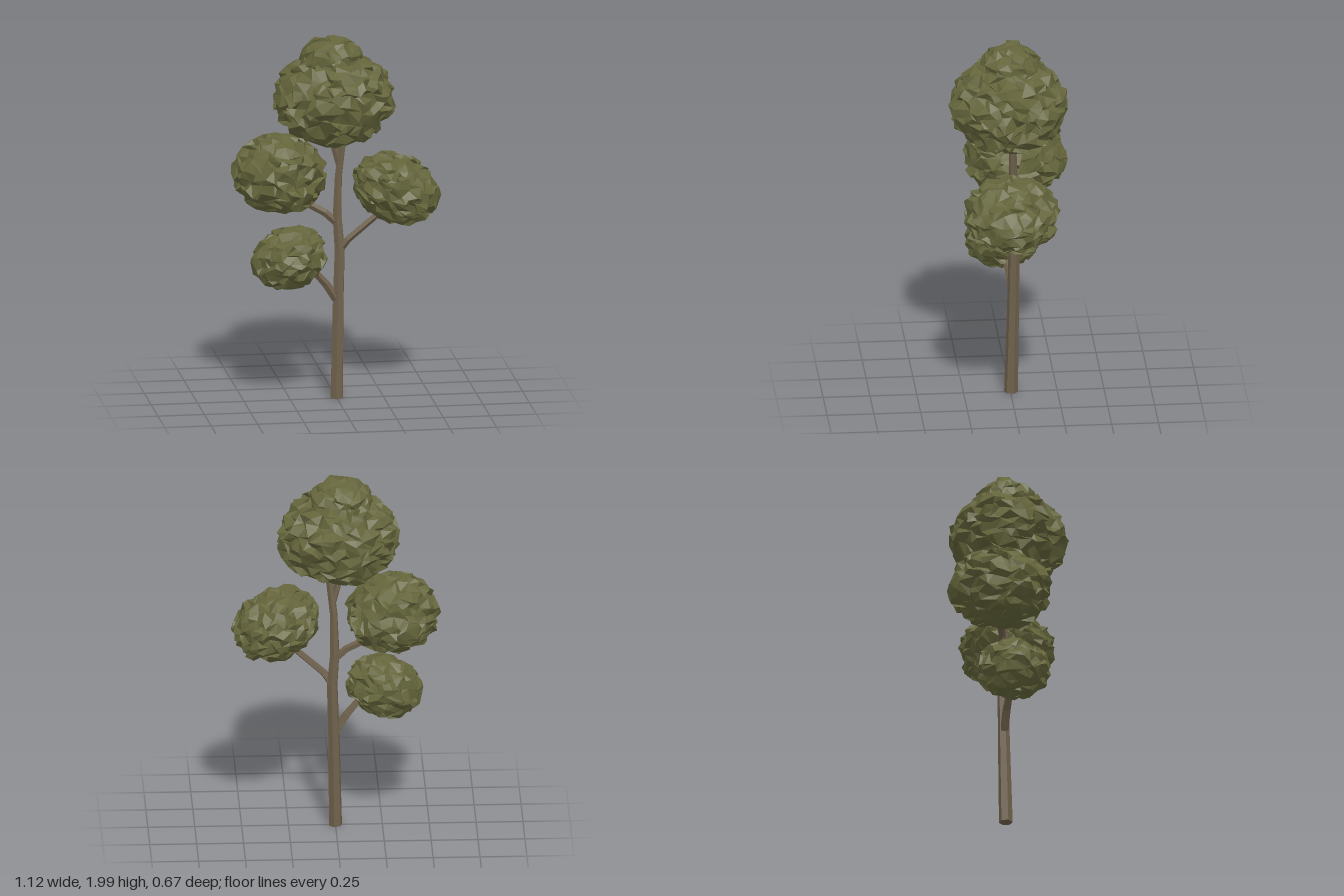
import * as THREE from 'three';
import { mergeVertices } from 'three/addons/utils/BufferGeometryUtils.js';

const bark = new THREE.MeshStandardMaterial({ color: 0x6f614c, flatShading: true });
bark.name = 'bark brown';
// leaves fold over each other, so both faces show
const leaf = new THREE.MeshStandardMaterial({
  color: 0x64653b, flatShading: true, side: THREE.DoubleSide,
});
leaf.name = 'leaf olive';

// small seeded random generator
function seeded(seed) {
  let s = seed;
  return () => {
    s = (s * 16807) % 2147483647;
    return s / 2147483647;
  };
}

// tapered limb with flat sides; each point is [x, y, z, radius]
function limb(name, points, sides = 6) {
  const pos = [], index = [];
  const centres = points.map(p => new THREE.Vector3(p[0], p[1], p[2]));
  points.forEach((p, i) => {
    const dir = centres[Math.min(i + 1, points.length - 1)].clone()
      .sub(centres[Math.max(i - 1, 0)]).normalize();
    const u = new THREE.Vector3(0, 0, 1).cross(dir).normalize();
    const v = dir.clone().cross(u);
    for (let k = 0; k < sides; k++) {
      const a = (k + 0.3) / sides * Math.PI * 2;
      const q = centres[i].clone()
        .addScaledVector(u, Math.cos(a) * p[3])
        .addScaledVector(v, Math.sin(a) * p[3]);
      pos.push(q.x, Math.max(q.y, 0), q.z);
      if (i > 0) {
        const b = i * sides + k, c = i * sides + (k + 1) % sides;
        index.push(b - sides, c - sides, c, b - sides, c, b);
      }
    }
  });
  // end caps
  const last = (points.length - 1) * sides;
  for (let k = 1; k < sides - 1; k++) {
    index.push(0, k + 1, k, last, last + k, last + k + 1);
  }
  const g = new THREE.BufferGeometry();
  g.setAttribute('position', new THREE.Float32BufferAttribute(pos, 3));
  g.setIndex(index);
  const flat = g.toNonIndexed();
  flat.computeVertexNormals();
  const mesh = new THREE.Mesh(flat, bark);
  mesh.name = name;
  return mesh;
}

// ragged ball of foliage filling the box from min to max, leaning by tilt
function foliage(name, min, max, detail, seed, tilt = 0) {
  const rnd = seeded(seed);
  let g = new THREE.IcosahedronGeometry(1, detail);
  g.deleteAttribute('normal');
  g.deleteAttribute('uv');
  g = mergeVertices(g, 1e-4);
  const p = g.attributes.position;
  const v = new THREE.Vector3();
  const scatter = 1.5 / (detail + 1);
  for (let i = 0; i < p.count; i++) {
    // sideways scatter, then a random depth
    v.fromBufferAttribute(p, i);
    v.x += (rnd() - 0.5) * scatter;
    v.y += (rnd() - 0.5) * scatter;
    v.z += (rnd() - 0.5) * scatter;
    v.normalize().multiplyScalar(0.9 + rnd() * 0.18);
    p.setXYZ(i, v.x, v.y + tilt * v.x, v.z);
  }
  // fit to the box
  g.computeBoundingBox();
  const { min: a, max: b } = g.boundingBox;
  g.translate(-(a.x + b.x) / 2, -(a.y + b.y) / 2, -(a.z + b.z) / 2);
  g.scale(
    (max[0] - min[0]) / (b.x - a.x),
    (max[1] - min[1]) / (b.y - a.y),
    (max[2] - min[2]) / (b.z - a.z));
  g.translate((min[0] + max[0]) / 2, (min[1] + max[1]) / 2, (min[2] + max[2]) / 2);
  const flat = g.toNonIndexed();
  flat.computeVertexNormals();
  const mesh = new THREE.Mesh(flat, leaf);
  mesh.name = name;
  return mesh;
}

export function createModel() {
  const tree = new THREE.Group();
  tree.name = 'tree';

  // trunk and branches
  tree.add(
    limb('trunk', [
      [0, 0.01, -0.004, 0.037], [0.008, 0.5, -0.014, 0.032], [0.018, 0.82, -0.018, 0.03],
      [0.004, 1.0, -0.02, 0.026], [0.01, 1.22, -0.015, 0.021], [0.033, 1.43, -0.01, 0.021],
      [0.035, 1.6, 0, 0.012],
    ]),
    limb('lowerBranch', [
      [0.01, 0.53, -0.015, 0.024], [-0.06, 0.64, -0.005, 0.023],
      [-0.13, 0.72, 0.01, 0.019], [-0.24, 0.79, 0.02, 0.01],
    ], 5),
    limb('rightMiddleBranch', [
      [0.01, 0.96, -0.02, 0.022], [-0.06, 1.025, -0.025, 0.021],
      [-0.18, 1.09, -0.04, 0.02], [-0.3, 1.2, -0.06, 0.01],
    ], 5),
    limb('leftMiddleBranch', [
      [0.01, 0.81, -0.02, 0.022], [0.06, 0.88, -0.005, 0.02],
      [0.2, 1.0, 0.01, 0.018], [0.31, 1.12, 0.02, 0.01],
    ], 5),
    limb('topBranch', [
      [0.015, 1.28, -0.015, 0.018], [-0.015, 1.39, -0.01, 0.018],
      [-0.06, 1.5, 0, 0.01],
    ], 5),
  );

  // foliage clusters
  tree.add(
    foliage('crownFoliage', [-0.345, 1.4, -0.31], [0.315, 1.925, 0.335], 7, 11),
    foliage('crownTopFoliage', [-0.2, 1.7, -0.18], [0.14, 2.0, 0.17], 4, 23),
    foliage('rightMiddleFoliage', [-0.56, 1.03, -0.335], [-0.045, 1.455, 0.225], 6, 37),
    foliage('leftMiddleFoliage', [0.085, 0.965, -0.245], [0.555, 1.355, 0.275], 6, 51, -0.2),
    foliage('lowerFoliage', [-0.47, 0.62, -0.185], [-0.055, 0.965, 0.225], 5, 67, 0.15),
  );
  return tree;
}
